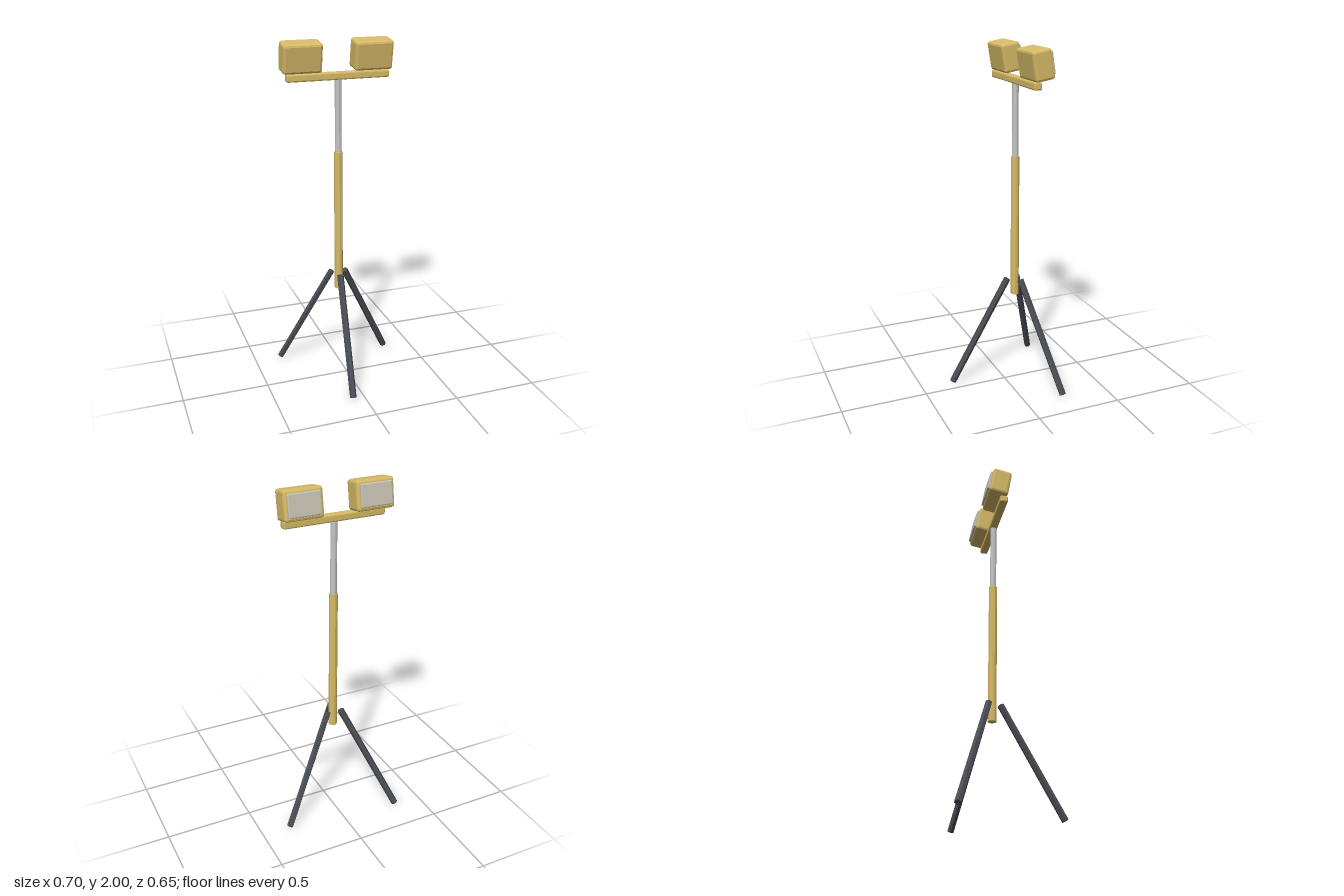
import * as THREE from 'three';
import { RoundedBoxGeometry } from 'three/addons/geometries/RoundedBoxGeometry.js';

const material = (name, color, flatShading = false) => {
  const m = new THREE.MeshStandardMaterial({ color, flatShading });
  m.name = name;
  return m;
};

export function createModel() {
  const yellow = material('yellow paint', 0xd9bc68, true);
  const silver = material('silver metal', 0xc6c7c9, true);
  const glass = material('lamp glass', 0xc8c4b4, true);
  const dark = material('dark metal', 0x4a4d54, true);

  const model = new THREE.Group();
  model.name = 'floodlightTripod';

  // Everything hangs on the mast axis, which is slightly off the origin
  const stand = new THREE.Group();
  stand.name = 'stand';
  stand.position.set(-0.025, 0, -0.076);
  model.add(stand);

  const add = (parent, name, geometry, mat, x = 0, y = 0, z = 0) => {
    const mesh = new THREE.Mesh(geometry, mat);
    mesh.name = name;
    mesh.position.set(x, y, z);
    parent.add(mesh);
    return mesh;
  };

  // Vertical tube between two heights
  const tube = (name, radius, y0, y1, mat) =>
    add(stand, name, new THREE.CylinderGeometry(radius, radius, y1 - y0, 10), mat, 0, (y0 + y1) / 2);
  tube('lowerMast', 0.0245, 0.54, 1.375, yellow);
  tube('upperMast', 0.0185, 1.375, 1.79, silver);

  // Crossbar
  add(stand, 'crossbar', new RoundedBoxGeometry(0.59, 0.042, 0.046, 1, 0.008), yellow, 0, 1.806, 0);

  // Two lamp heads, tilted slightly upward and facing the back
  for (const [side, x] of [['right', -0.204], ['left', 0.204]]) {
    const lamp = new THREE.Group();
    lamp.name = side + 'Lamp';
    lamp.position.set(x, 1.914, -0.023);
    lamp.rotation.x = THREE.MathUtils.degToRad(9.5);
    stand.add(lamp);
    add(lamp, 'housing', new RoundedBoxGeometry(0.22, 0.162, 0.112, 1, 0.014), yellow);
    add(lamp, 'lens', new RoundedBoxGeometry(0.185, 0.124, 0.03, 1, 0.006), glass, 0, 0, -0.053);
  }

  // Three splayed hexagonal legs, 120 degrees apart
  const up = new THREE.Vector3(0, 1, 0);
  for (let i = 0; i < 3; i++) {
    const top = new THREE.Vector3(0, 0.638, 0.046);
    const foot = new THREE.Vector3(0, 0.009, 0.388);
    const axis = top.clone().sub(foot);
    const geometry = new THREE.CylinderGeometry(0.0195, 0.0195, axis.length(), 6);
    geometry.rotateY(Math.PI / 6);
    const pivot = new THREE.Group();
    pivot.name = 'legPivot' + (i + 1);
    pivot.rotation.y = THREE.MathUtils.degToRad(-6.5 + i * 120);
    stand.add(pivot);
    const leg = add(pivot, 'leg', geometry, dark);
    leg.position.copy(top).add(foot).multiplyScalar(0.5);
    leg.quaternion.setFromUnitVectors(up, axis.normalize());
  }

  return model;
}
